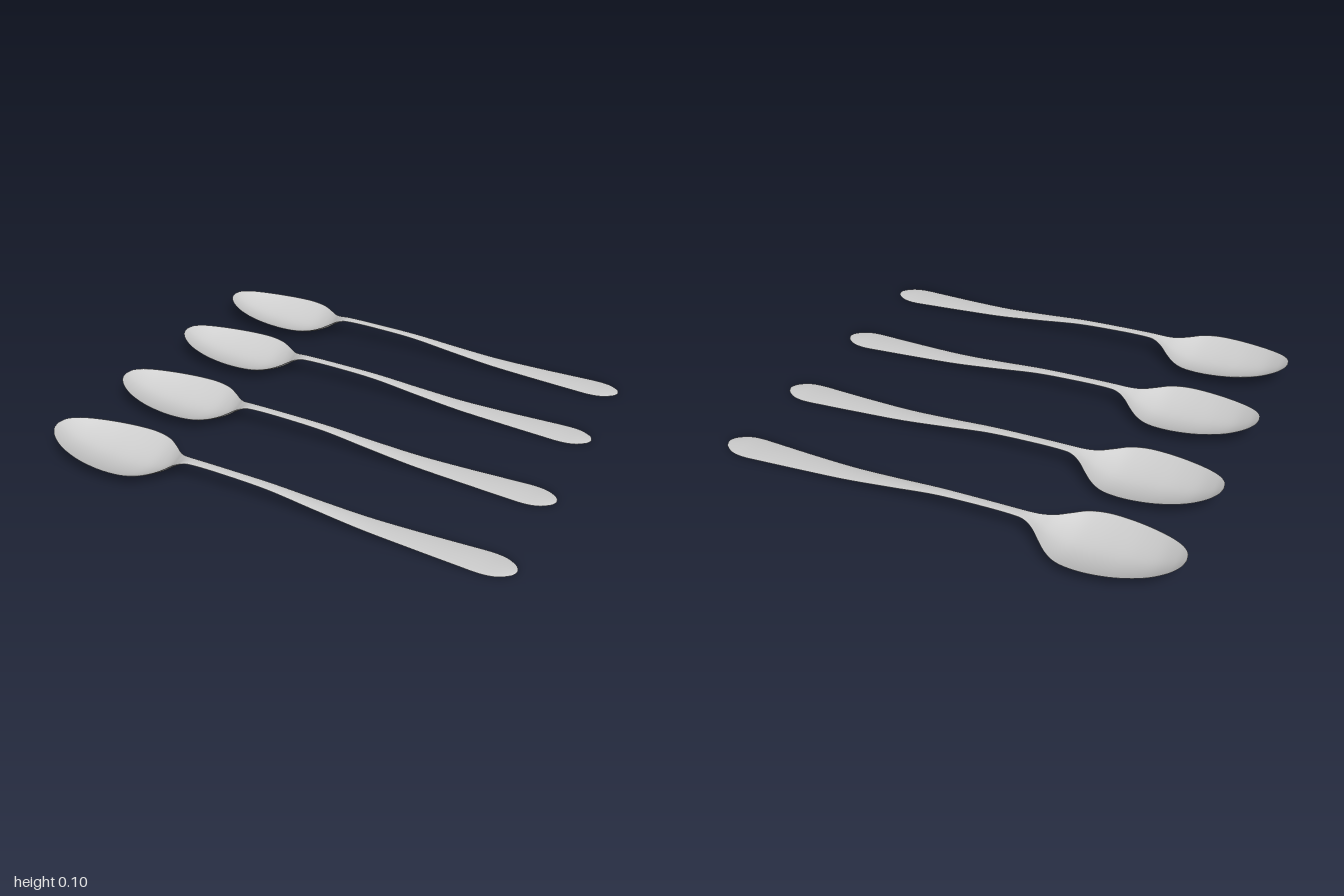
import * as THREE from 'three';

// Stations along one spoon: x, half width, edge height, centre-line height, thickness
const STATIONS = [
  [-1.0, 0.0, 0.106, 0.106, 0.003],
  [-0.99, 0.042, 0.104, 0.096, 0.005],
  [-0.955, 0.085, 0.096, 0.073, 0.006],
  [-0.89, 0.125, 0.084, 0.044, 0.007],
  [-0.8, 0.156, 0.074, 0.023, 0.007],
  [-0.71, 0.172, 0.068, 0.012, 0.007],
  [-0.63, 0.174, 0.064, 0.007, 0.007],
  [-0.56, 0.159, 0.059, 0.009, 0.007],
  [-0.505, 0.124, 0.056, 0.021, 0.008],
  [-0.46, 0.083, 0.062, 0.039, 0.009],
  [-0.42, 0.048, 0.077, 0.065, 0.01],
  [-0.38, 0.028, 0.089, 0.086, 0.01],
  [-0.33, 0.022, 0.092, 0.092, 0.01],
  [-0.2, 0.021, 0.088, 0.088, 0.01],
  [0.0, 0.024, 0.076, 0.077, 0.01],
  [0.2, 0.033, 0.052, 0.054, 0.009],
  [0.4, 0.043, 0.03, 0.032, 0.008],
  [0.6, 0.054, 0.018, 0.02, 0.007],
  [0.78, 0.065, 0.01, 0.013, 0.007],
  [0.88, 0.07, 0.006, 0.009, 0.007],
  [0.94, 0.061, 0.005, 0.008, 0.007],
  [0.98, 0.037, 0.005, 0.007, 0.006],
  [0.995, 0.018, 0.005, 0.006, 0.005],
  [1.0, 0.0, 0.005, 0.005, 0.003],
];

// Loft thin closed cross-sections along x
function spoonGeometry(rings = 138, sides = 40) {
  const curve = (pick) => new THREE.CatmullRomCurve3(
    STATIONS.map((s) => new THREE.Vector3(...pick(s))), false, 'catmullrom', 0.5);
  const outline = curve(([x, w, edge]) => [x, w, edge]);
  const spine = curve(([x, , , y, t]) => [x, y, t]);

  const positions = [], indices = [];
  for (let i = 0; i <= rings; i++) {
    const { x, y: halfWidth, z: edgeY } = outline.getPoint(i / rings);
    const { y: centreY, z: thickness } = spine.getPoint(i / rings);
    for (let j = 0; j < sides; j++) {
      const a = (j / sides) * Math.PI * 2;
      const s = Math.cos(a);
      const dish = centreY + (edgeY - centreY) * Math.pow(Math.abs(s), 1.8);
      positions.push(x, dish + Math.sin(a) * thickness / 2, s * Math.max(halfWidth, 0));
      if (i < rings) {
        const p = i * sides + j, q = i * sides + (j + 1) % sides;
        indices.push(p, p + sides, q, q, p + sides, q + sides);
      }
    }
  }
  const geometry = new THREE.BufferGeometry();
  geometry.setAttribute('position', new THREE.Float32BufferAttribute(positions, 3));
  geometry.setIndex(indices);
  geometry.computeVertexNormals();
  return geometry;
}

export function createModel() {
  const group = new THREE.Group();
  group.name = 'spoonSet';
  const geometry = spoonGeometry();
  const material = new THREE.MeshStandardMaterial({ color: 0xcccccc });

  // Four identical spoons laid side by side
  [-0.715, -0.265, 0.235, 0.715].forEach((z, i) => {
    const spoon = new THREE.Mesh(geometry, material);
    spoon.name = `spoon${i + 1}`;
    spoon.position.z = z;
    group.add(spoon);
  });
  return group;
}
